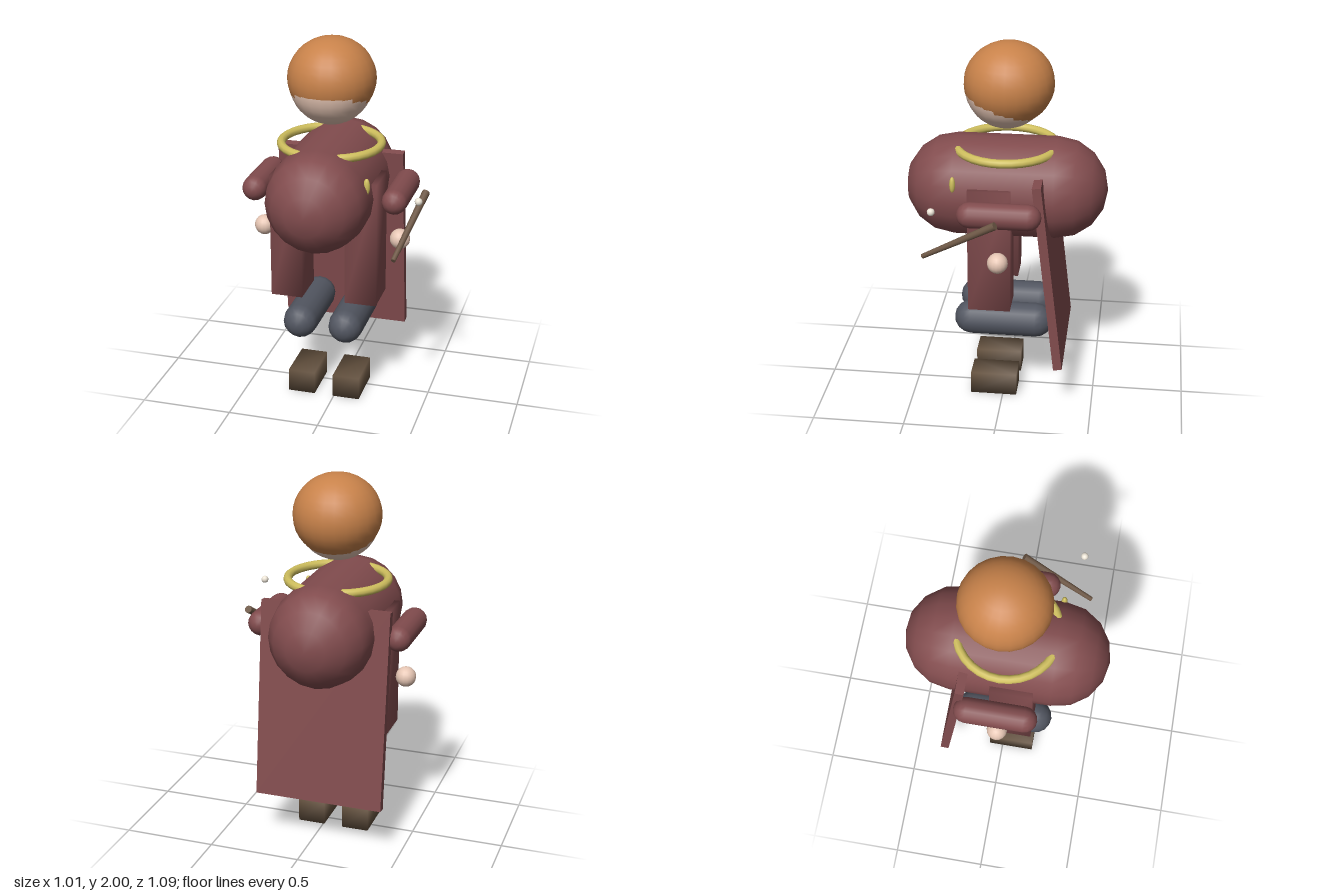
import * as THREE from 'three';
import { mergeVertices } from 'three/addons/utils/BufferGeometryUtils.js';

const CX = -0.058; // the figure's own midline

const mat = (color) => new THREE.MeshStandardMaterial({ color });
const cloth = mat(0x824c4e);
const orange = mat(0xc8824a);
const skin = mat(0xe6c6b4);
const gold = mat(0xcfbf5e);
const trousers = mat(0x525661);
const leather = mat(0x65523f);
const wood = mat(0x6e5846);
const pearl = mat(0xeee6d8);

// box with shared corners, so its shading is soft
function softBox(w, h, d) {
  const g = new THREE.BoxGeometry(w, h, d);
  g.deleteAttribute('normal');
  g.deleteAttribute('uv');
  const merged = mergeVertices(g);
  merged.computeVertexNormals();
  return merged;
}

// capsule lying along z
function capsuleZ(radius, length, sides) {
  return new THREE.CapsuleGeometry(radius, length, 4, sides).rotateX(Math.PI / 2);
}

export function createModel() {
  const model = new THREE.Group();
  const add = (name, geometry, material, x, y, z) => {
    const mesh = new THREE.Mesh(geometry, material);
    mesh.name = name;
    mesh.position.set(x, y, z);
    model.add(mesh);
    return mesh;
  };

  // torso and head
  add('torso', capsuleZ(0.275, 0.535, 20), cloth, CX, 1.2, -0.002);
  add('head', new THREE.SphereGeometry(0.22, 24, 18), skin, CX, 1.76, 0);
  add('hair', new THREE.SphereGeometry(1, 24, 18), orange, CX, 1.78, -0.013)
    .scale.set(0.233, 0.22, 0.238);

  // collar ring and brooch
  add('collar', new THREE.TorusGeometry(0.266, 0.023, 10, 32).rotateX(Math.PI / 2), gold, CX, 1.432, 0);
  add('brooch', new THREE.SphereGeometry(1, 12, 10), gold, 0.2, 1.298, 0.255)
    .scale.set(0.018, 0.045, 0.016);

  // paired parts
  for (const [side, s] of [['left', 1], ['right', -1]]) {
    add(side + 'Arm', capsuleZ(0.068, 0.305, 16), cloth, CX + s * 0.381, 1.19, -0.002);
    add(side + 'Hand', new THREE.SphereGeometry(0.055, 16, 12), skin, CX + s * 0.381, 0.92, 0.005);
    add(side + 'CoatPanel', softBox(0.173, 0.695, 0.226), cloth, CX + s * 0.206, 0.933, 0.063);
    add(side + 'Leg', capsuleZ(0.094, 0.355, 16), trousers, CX + s * 0.127, 0.45, 0.002);
    add(side + 'Shoe', softBox(0.15, 0.128, 0.255), leather, CX + s * 0.127, 0.064, 0.051);
  }

  // cape leaning away from the back
  add('cape', new THREE.BoxGeometry(0.703, 1.075, 0.047), cloth, CX, 0.806, -0.254)
    .rotation.x = 0.117;

  // tapered stick and the bead beside it
  const top = new THREE.Vector3(0.458, 1.2, 0);
  const tip = new THREE.Vector3(0.375, 0.965, 0.39);
  const axis = top.clone().sub(tip);
  const mid = top.clone().add(tip).multiplyScalar(0.5);
  add('stick', new THREE.CylinderGeometry(0.021, 0.013, axis.length(), 10), wood, mid.x, mid.y, mid.z)
    .quaternion.setFromUnitVectors(new THREE.Vector3(0, 1, 0), axis.normalize());
  add('bead', new THREE.SphereGeometry(0.02, 12, 10), pearl, 0.485, 1.272, 0.32);

  return model;
}
